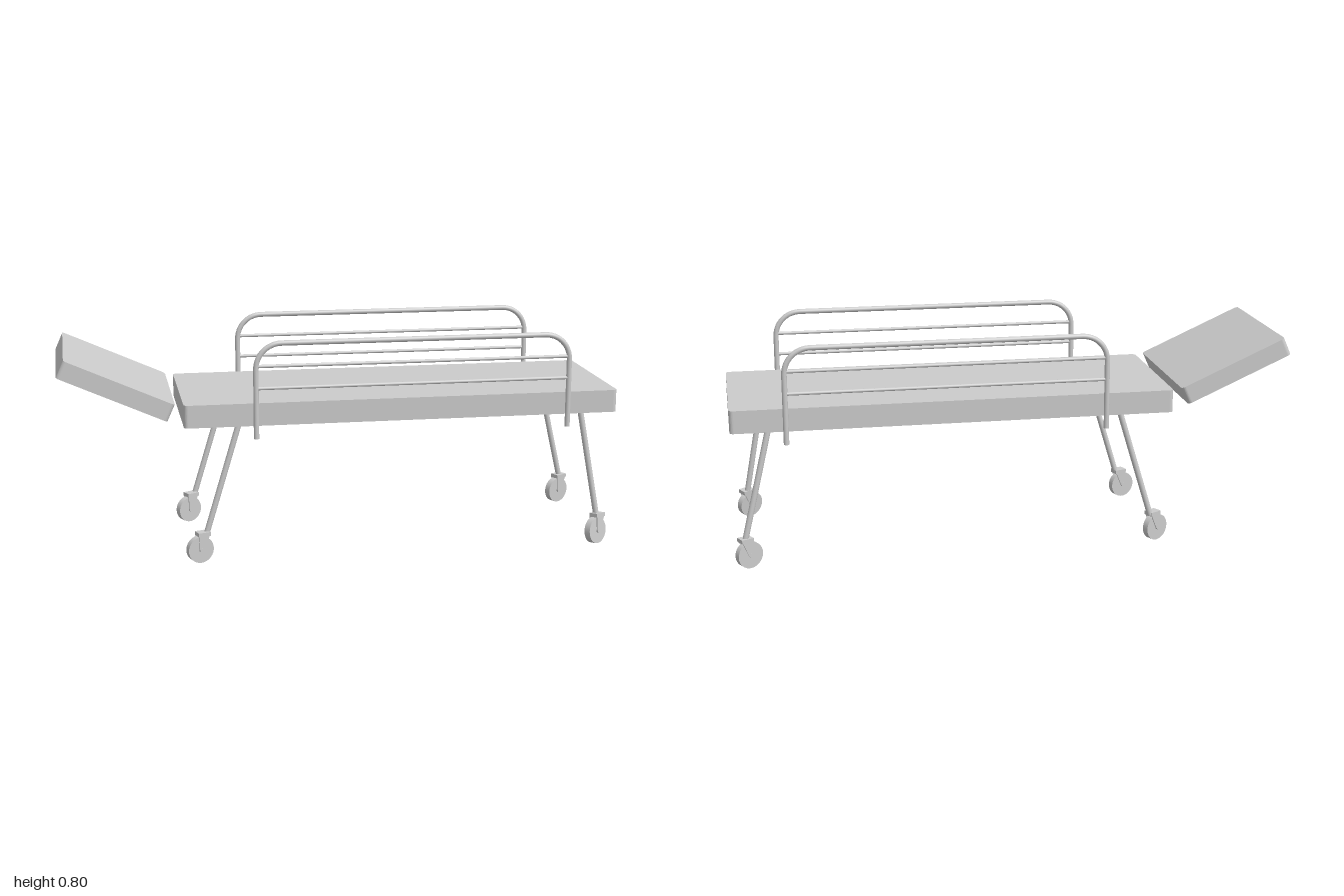
import * as THREE from 'three';

const material = new THREE.MeshStandardMaterial({ color: 0xcccccc, side: THREE.DoubleSide });
const MID_Z = -0.01; // centre line of the bed

function add(parent, geometry, name) {
  const mesh = new THREE.Mesh(geometry, material);
  mesh.name = name;
  parent.add(mesh);
  return mesh;
}

// Flat slab with rounded vertical corners, centred on its origin
function slab(length, height, depth, r) {
  const x = length / 2, y = depth / 2;
  const s = new THREE.Shape();
  s.moveTo(-x + r, -y);
  s.lineTo(x - r, -y);
  s.absarc(x - r, -y + r, r, -Math.PI / 2, 0);
  s.absarc(x - r, y - r, r, 0, Math.PI / 2);
  s.absarc(-x + r, y - r, r, Math.PI / 2, Math.PI);
  s.absarc(-x + r, -y + r, r, Math.PI, Math.PI * 1.5);
  const g = new THREE.ExtrudeGeometry(s, { depth: height, bevelEnabled: false, curveSegments: 5 });
  return g.translate(0, 0, -height / 2).rotateX(-Math.PI / 2);
}

// Straight round bar between two points
function bar(parent, a, b, radius, name) {
  const from = new THREE.Vector3(...a), to = new THREE.Vector3(...b);
  const dir = to.clone().sub(from);
  const m = add(parent, new THREE.CylinderGeometry(radius, radius, dir.length(), 16), name);
  m.position.copy(from).add(to).multiplyScalar(0.5);
  m.quaternion.setFromUnitVectors(new THREE.Vector3(0, 1, 0), dir.normalize());
  return m;
}

// Side rail: bent outer tube with two inner bars
function sideRail(z, name) {
  const g = new THREE.Group();
  g.name = name;
  const x0 = -0.317, x1 = 0.808, top = 0.79, r = 0.09, bottom = 0.453;
  const v = (x, y) => new THREE.Vector3(x, y, 0);
  const points = [v(x0, bottom)];
  for (let i = 0; i <= 10; i++) {
    const a = Math.PI - (i / 10) * Math.PI / 2;
    points.push(v(x0 + r + r * Math.cos(a), top - r + r * Math.sin(a)));
  }
  for (let i = 0; i <= 10; i++) {
    const a = Math.PI / 2 - (i / 10) * Math.PI / 2;
    points.push(v(x1 - r + r * Math.cos(a), top - r + r * Math.sin(a)));
  }
  points.push(v(x1, bottom));
  const path = new THREE.CurvePath();
  for (let i = 1; i < points.length; i++) path.add(new THREE.LineCurve3(points[i - 1], points[i]));
  add(g, new THREE.TubeGeometry(path, 160, 0.0095, 12), 'railFrame');
  for (const x of [x0, x1]) {
    const cap = add(g, new THREE.CircleGeometry(0.0095, 12).rotateX(Math.PI / 2), 'railEndCap');
    cap.position.set(x, bottom, 0);
  }
  for (const y of [0.71, 0.632]) bar(g, [x0, y, 0], [x1, y, 0], 0.006, 'railBar');
  g.position.z = z;
  return g;
}

// Swivelling wheel with its fork, centred on the axle
function caster([x, y, z], turn, roll) {
  const g = new THREE.Group();
  g.name = 'caster';
  const wheel = new THREE.CylinderGeometry(0.048, 0.048, 0.024, 32).rotateX(Math.PI / 2);
  add(g, wheel, 'wheel');
  const axle = new THREE.CylinderGeometry(0.008, 0.008, 0.038, 12).rotateX(Math.PI / 2);
  add(g, axle, 'axle');
  add(g, new THREE.BoxGeometry(0.046, 0.014, 0.036), 'forkHead').position.set(0.012, 0.056, 0);
  const s = new THREE.Shape();
  s.moveTo(-0.01, 0.056);
  s.lineTo(-0.007, -0.005);
  s.lineTo(0.007, -0.005);
  s.lineTo(0.034, 0.056);
  s.closePath();
  for (const side of [-1, 1]) {
    const plate = add(g, new THREE.ExtrudeGeometry(s, { depth: 0.004, bevelEnabled: false }), 'forkPlate');
    plate.position.z = side * 0.0155 - 0.002;
  }
  g.position.set(x, y, z);
  g.rotation.set(roll, turn, 0);
  return g;
}

export function createModel() {
  const model = new THREE.Group();
  model.name = 'wheeledBed';

  // Mattress and raised headrest
  add(model, slab(1.566, 0.081, 0.547, 0.015), 'mattress').position.set(0.216, 0.535, MID_Z);
  const head = add(model, slab(0.412, 0.065, 0.547, 0.015), 'headrest');
  head.position.set(-0.798, 0.634, MID_Z);
  head.rotation.z = -0.42;

  // Side rails
  model.add(sideRail(MID_Z + 0.292, 'frontRail'), sideRail(MID_Z - 0.29, 'backRail'));

  // Legs: top, foot, wheel centre, swivel angle and lean
  const legs = [
    { top: [-0.375, 0.5, 0.245], foot: [-0.495, 0.105, 0.248], wheel: [-0.52, 0.052, 0.257], turn: 0.33, roll: 0 },
    { top: [-0.375, 0.5, -0.265], foot: [-0.495, 0.105, -0.268], wheel: [-0.52, 0.052, -0.247], turn: 0.5, roll: 0 },
    { top: [0.868, 0.5, 0.245], foot: [0.94, 0.105, 0.255], wheel: [0.932, 0.053, 0.275], turn: 0.6, roll: -0.12 },
    { top: [0.868, 0.5, -0.265], foot: [0.963, 0.105, -0.28], wheel: [0.951, 0.052, -0.273], turn: 0.48, roll: 0 },
  ];
  for (const l of legs) {
    bar(model, l.top, l.foot, 0.0105, 'leg');
    model.add(caster(l.wheel, l.turn, l.roll));
  }
  return model;
}
